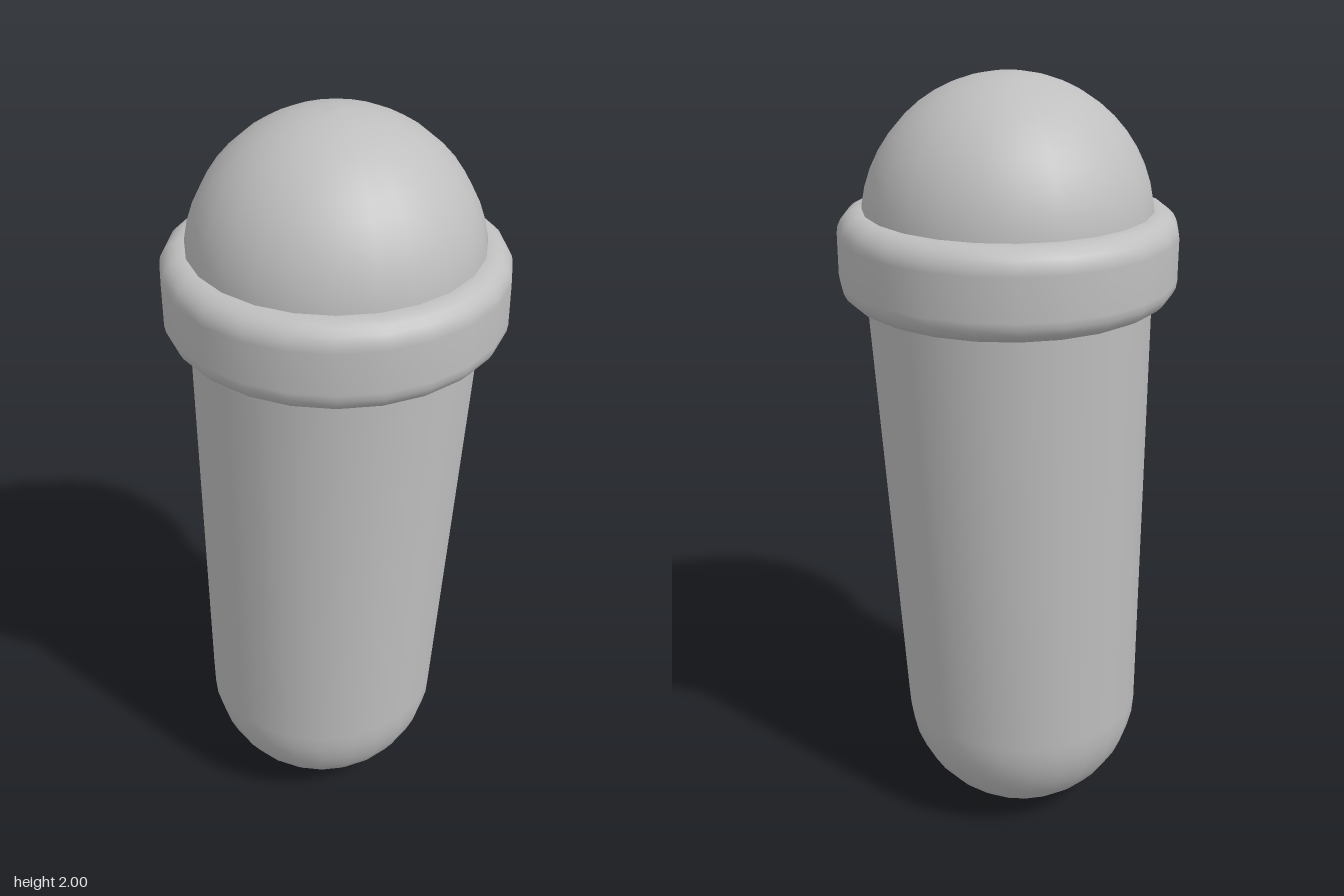
import * as THREE from 'three';

const SIDES = 24;

// Points of an arc in the profile plane, from angle a to b in degrees
function arc(cx, cy, r, a, b, steps) {
  return Array.from({ length: steps + 1 }, (_, i) => {
    const t = THREE.MathUtils.degToRad(a + ((b - a) * i) / steps);
    return new THREE.Vector2(Math.max(0, cx + r * Math.cos(t)), cy + r * Math.sin(t));
  });
}

export function createModel() {
  const model = new THREE.Group();
  const grey = new THREE.MeshStandardMaterial({ color: 0xbfbfbf });
  grey.name = 'grey';

  function turned(name, points) {
    const mesh = new THREE.Mesh(new THREE.LatheGeometry(points, SIDES), grey);
    mesh.name = name;
    model.add(mesh);
    return mesh;
  }

  // Tapered shaft with a round lower end, leaning so one side stays upright
  const lowY = 0.317, highY = 1.56;
  const shaft = turned('shaft', [
    ...arc(0, lowY, 0.317, -90, 0, 10),
    new THREE.Vector2(0.36, highY),
  ]);
  const pos = shaft.geometry.attributes.position;
  for (let i = 0; i < pos.count; i++) {
    const t = THREE.MathUtils.clamp((pos.getY(i) - lowY) / (highY - lowY), 0, 1);
    pos.setX(i, pos.getX(i) - 0.043 * (1 - t));
  }

  // Collar with rounded rims
  turned('collar', [
    new THREE.Vector2(0.3, 1.455),
    ...arc(0.36, 1.515, 0.06, -90, 0, 5),
    ...arc(0.36, 1.62, 0.06, 0, 90, 5),
    new THREE.Vector2(0.3, 1.68),
  ]);

  // Domed cap
  turned('dome', [new THREE.Vector2(0.36, 1.56), ...arc(0, 1.64, 0.36, 0, 90, 12)]);

  return model;
}
